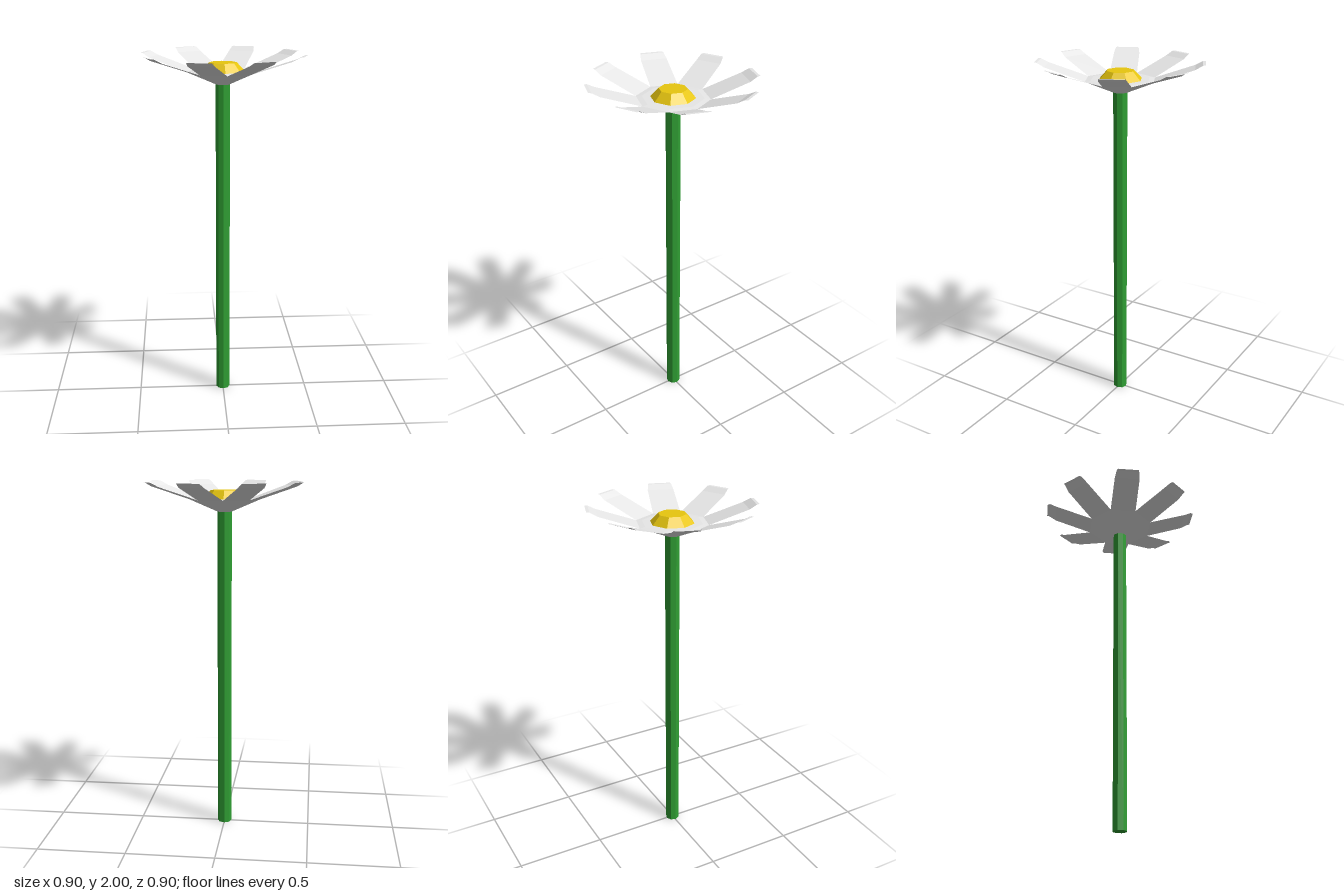
import * as THREE from 'three';

const SIDES = 8;
const TWIST = THREE.MathUtils.degToRad(3.5);

const material = (name, color, side = THREE.FrontSide) =>
  new THREE.MeshStandardMaterial({ name, color, side, flatShading: true });

// Eight-sided turned solid from [radius, height] pairs, listed bottom to top
function turned(name, profile, mat) {
  const points = profile.map(([r, y]) => new THREE.Vector2(r, y));
  const mesh = new THREE.Mesh(new THREE.LatheGeometry(points, SIDES, TWIST), mat);
  mesh.name = name;
  return mesh;
}

// Thin folded petal along +x, from [distance, height, half width] sections
function petalGeometry() {
  const sections = [
    [0.182, 1.905, 0.0755],
    [0.397, 1.977, 0.073],
    [0.437, 1.999, 0.066],
    [0.453, 2.0, 0.061],
  ];
  const positions = [];
  const index = [];
  sections.forEach(([r, y, w], i) => {
    positions.push(r, y, -w, r, y, w);
    if (i > 0) {
      const a = 2 * (i - 1);
      index.push(a, a + 1, a + 2, a + 1, a + 3, a + 2);
    }
  });
  const geometry = new THREE.BufferGeometry();
  geometry.setAttribute('position', new THREE.Float32BufferAttribute(positions, 3));
  geometry.setIndex(index);
  geometry.computeVertexNormals();
  return geometry;
}

export function createModel() {
  const green = material('stem green', 0x2f9e33);
  const white = material('petal white', 0xf5f5f5, THREE.DoubleSide);
  const yellow = material('centre yellow', 0xf2cf10);

  const flower = new THREE.Group();
  flower.name = 'flower';

  // Stem with closed ends
  flower.add(turned('stem', [[0, 0], [0.04, 0], [0.04, 1.845], [0, 1.845]], green));

  // Cup under the petals with a nearly flat floor
  flower.add(turned('cup', [[0.04, 1.838], [0.197, 1.905], [0.165, 1.908], [0, 1.908]], white));

  // Yellow button in the middle
  flower.add(turned('centre', [[0.121, 1.907], [0.076, 1.955], [0, 1.955]], yellow));

  // Ring of petals, one on each side of the cup
  const petals = new THREE.Group();
  petals.name = 'petals';
  const geometry = petalGeometry();
  for (let i = 0; i < SIDES; i++) {
    const petal = new THREE.Mesh(geometry, white);
    petal.name = 'petal';
    petal.rotation.y = TWIST - ((i + 0.5) * Math.PI * 2) / SIDES;
    petals.add(petal);
  }
  flower.add(petals);

  return flower;
}
